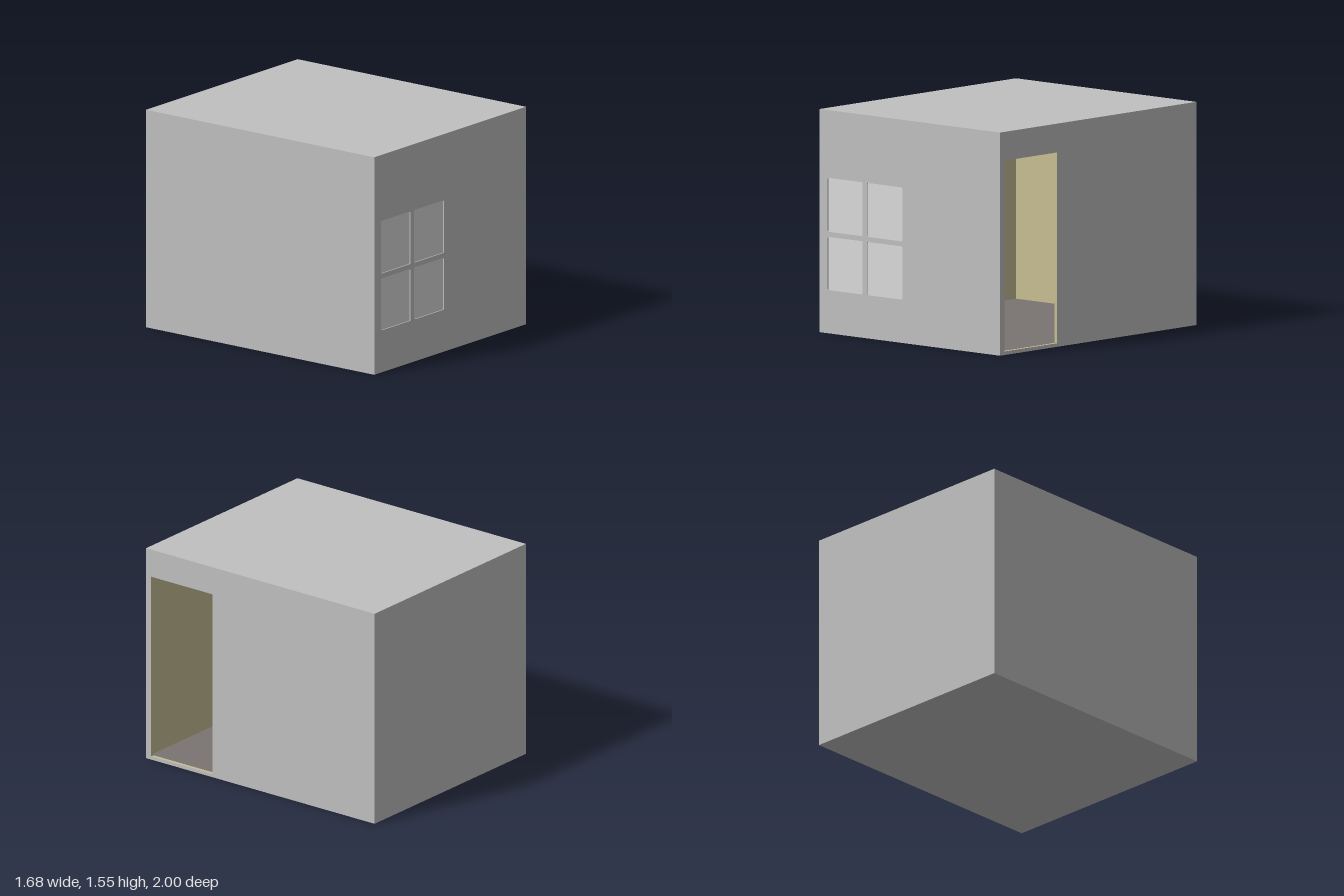
import * as THREE from 'three';

const W = 1.68, H = 1.55, D = 2; // outer size of the room
const S = 0.012;                 // thickness of one skin; walls are shell + lining

const material = (name, color) => {
  const m = new THREE.MeshStandardMaterial({ color });
  m.name = name;
  return m;
};

// Closed path with softened corners
function roundedRect(path, x0, y0, x1, y1, r = 0) {
  path.moveTo(x0 + r, y0);
  path.lineTo(x1 - r, y0);
  if (r) path.quadraticCurveTo(x1, y0, x1, y0 + r);
  path.lineTo(x1, y1 - r);
  if (r) path.quadraticCurveTo(x1, y1, x1 - r, y1);
  path.lineTo(x0 + r, y1);
  if (r) path.quadraticCurveTo(x0, y1, x0, y1 - r);
  path.lineTo(x0, y0 + r);
  if (r) path.quadraticCurveTo(x0, y0, x0 + r, y0);
  path.closePath();
  return path;
}

// Upright sheet with openings, thickness running along +z
function sheet(x0, y0, x1, y1, holes, depth, r = 0) {
  const shape = roundedRect(new THREE.Shape(), x0, y0, x1, y1, r);
  for (const h of holes) shape.holes.push(roundedRect(new THREE.Path(), ...h));
  return new THREE.ExtrudeGeometry(shape, { depth, bevelEnabled: false, curveSegments: 3 });
}

export function createModel() {
  const grey = material('wallGrey', 0xc0c0c0);
  const khaki = material('liningKhaki', 0xc7be93);
  const glass = material('paneGrey', 0xdadada);
  const dark = material('floorBrown', 0x7a7471);

  const room = new THREE.Group();
  room.name = 'room';
  const add = (name, geometry, mat, x = 0, y = 0, z = 0) => {
    const mesh = new THREE.Mesh(geometry, mat);
    mesh.name = name;
    mesh.position.set(x, y, z);
    room.add(mesh);
    return mesh;
  };
  const box = (w, h, d) => new THREE.BoxGeometry(w, h, d);

  const door = [-0.955, 0.025, -0.42, 1.35];
  const panes = [];
  for (const [x0, x1] of [[-0.765, -0.44], [-0.4, -0.07]])
    for (const [y0, y1] of [[0.3, 0.67], [0.705, 1.08]]) panes.push([x0, y0, x1, y1]);

  // Outer shell and inner lining: the same set of walls, the second one inset
  [['Shell', 0, grey, grey, grey], ['Lining', S, khaki, dark, khaki]].forEach(
    ([kind, inset, wall, floor, ceiling]) => {
      const w = W - 2 * inset, h = H - 2 * inset, d = D - 2 * inset;
      const wallH = h - 2 * S, midY = H / 2;
      add('floor' + kind, box(w, S, d), floor, 0, inset + S / 2, 0);
      add('roof' + kind, box(w, S, d), ceiling, 0, H - inset - S / 2, 0);
      add('backWall' + kind, box(w, wallH, S), wall, 0, midY, -d / 2 + S / 2);
      add('leftOuterWall' + kind, box(S, wallH, d - 2 * S), wall, -w / 2 + S / 2, midY, 0);

      // Front wall: window openings in the shell only
      const holes = inset ? [] : panes.map((p) => [...p, 0.01]);
      add('frontWall' + kind,
        sheet(-w / 2, inset + S, w / 2, H - inset - S, holes, S), wall, 0, 0, d / 2 - S);

      // Door wall with khaki jambs
      const doorWall = sheet(-d / 2 + S, inset + S, d / 2 - S, H - inset - S, [door], S);
      doorWall.rotateY(Math.PI / 2);
      add('doorWall' + kind, doorWall, [wall, khaki], w / 2 - S, 0, 0);
    });

  // Window panes, set slightly back in their openings
  panes.forEach((p) => add('windowPane', sheet(...p, [], 0.005, 0.01), glass, 0, 0, D / 2 - S));

  return room;
}
